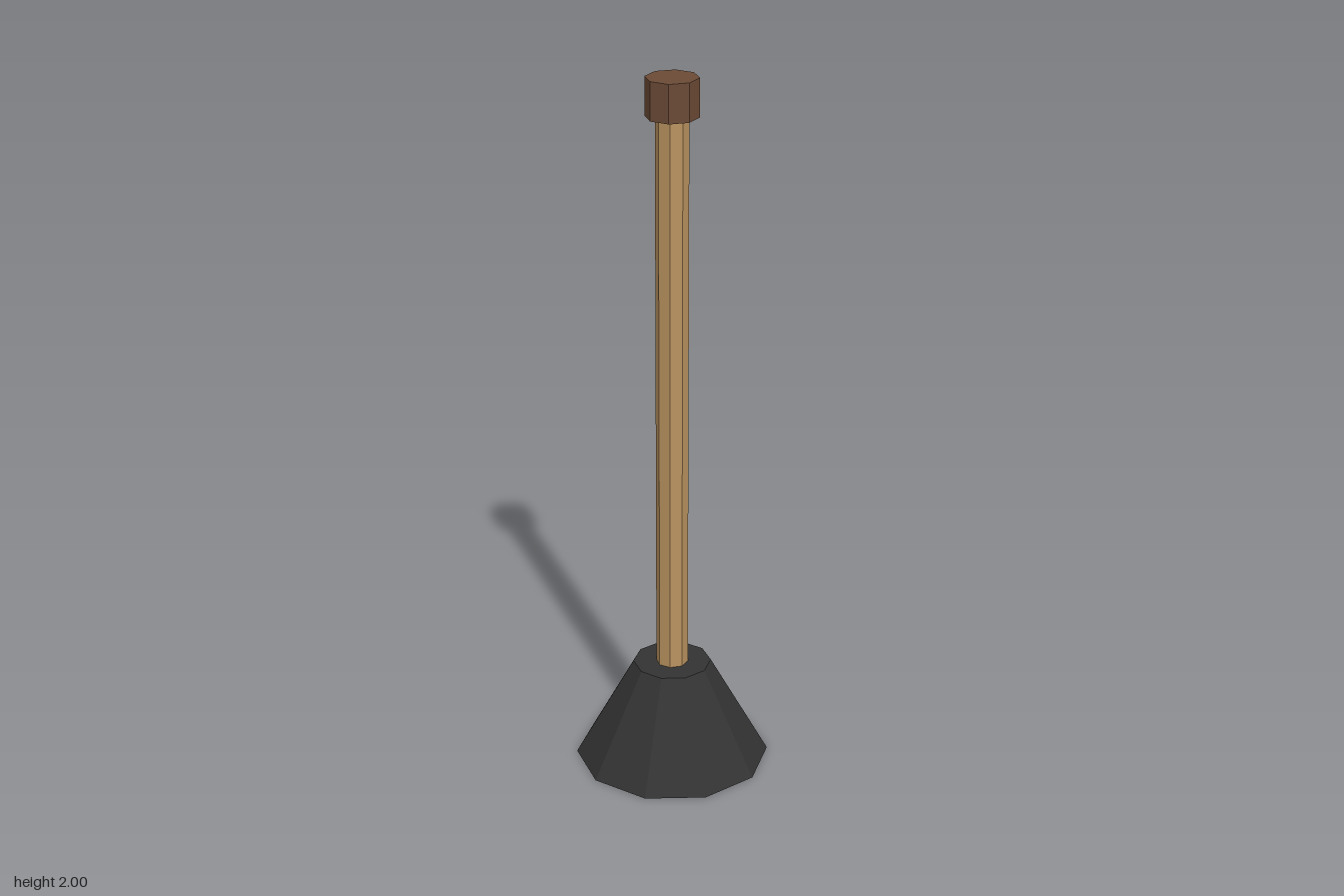
import * as THREE from 'three';

export function createModel() {
  const model = new THREE.Group();
  model.name = 'plunger';

  const material = (name, color) => {
    const m = new THREE.MeshStandardMaterial({ color, flatShading: true });
    m.name = name;
    return m;
  };
  const rubber = material('black rubber', 0x333333);
  const wood = material('light wood', 0xb8925f);
  const darkWood = material('dark wood', 0x6b4a36);

  // Faceted upright part between two heights, with a corner on the x axis
  const addPart = (name, rTop, rBottom, y0, y1, sides, mat) => {
    const geometry = new THREE.CylinderGeometry(rTop, rBottom, y1 - y0, sides);
    geometry.rotateY(Math.PI / 2);
    geometry.translate(0, (y0 + y1) / 2, 0);
    const mesh = new THREE.Mesh(geometry, mat);
    mesh.name = name;
    model.add(mesh);
  };

  addPart('rubberCup', 0.11, 0.275, 0, 0.295, 10, rubber);
  addPart('handle', 0.045, 0.045, 0.2, 1.92, 8, wood);
  addPart('handleCap', 0.072, 0.072, 1.895, 2, 8, darkWood);

  return model;
}
